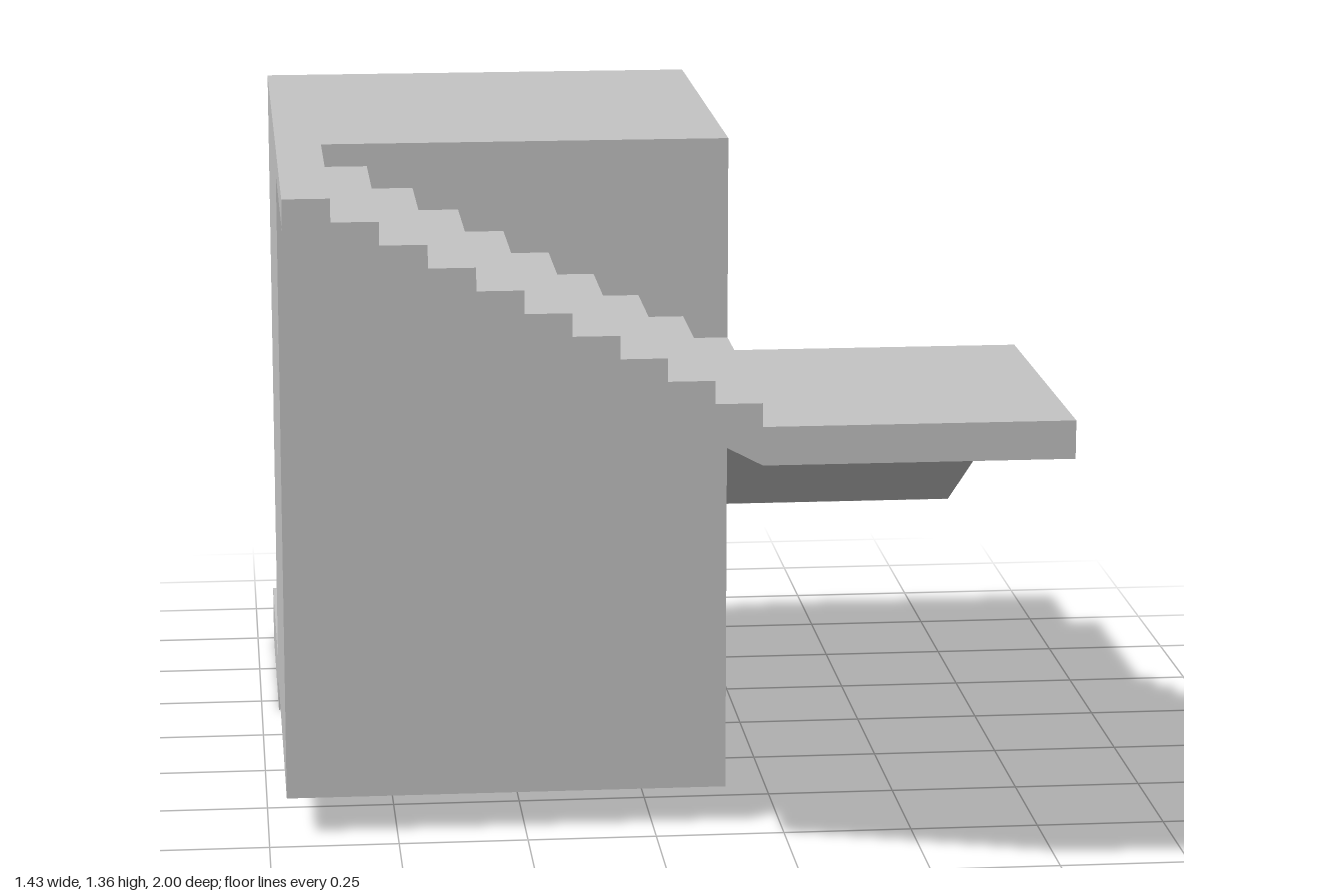
import * as THREE from 'three';

const STEPS = 10, RUN = 0.0857, RISE = 0.0429;
const LENGTH = STEPS * RUN;   // horizontal length of a flight, equal to the block side
const WIDTH = 0.5714;         // stair width
const LEFT = -0.7143, CORNER = LEFT + LENGTH, HALF = LENGTH / 2;
const SLAB = 0.0714;

export function createModel() {
  const group = new THREE.Group();
  const concrete = new THREE.MeshStandardMaterial({ color: 0xc4c4c4 });
  concrete.name = 'concrete grey';

  const add = (name, geometry, x, y, z, turn = 0) => {
    const mesh = new THREE.Mesh(geometry, concrete);
    mesh.name = name;
    mesh.position.set(x, y, z);
    mesh.rotation.y = turn;
    group.add(mesh);
  };

  // Descending flight along local +x: stepped top, sloping underside
  const flight = (top, underHigh, underLow) => {
    const s = new THREE.Shape();
    s.moveTo(0, underHigh);
    s.lineTo(LENGTH, underLow);
    for (let i = STEPS - 1; i >= 0; i--) {
      s.lineTo((i + 1) * RUN, top - i * RISE);
      s.lineTo(i * RUN, top - i * RISE);
    }
    return new THREE.ExtrudeGeometry(s, { depth: WIDTH, bevelEnabled: false });
  };

  // Central block
  add('centralBlock', new THREE.BoxGeometry(LENGTH, 1.285, LENGTH), LEFT + HALF, 0.075 + 1.285 / 2, 0);

  // Three flights winding down around the block
  add('upperFlight', flight(1.36, 1.304, 0.859), LEFT, 0, HALF);
  add('middleFlight', flight(0.93, 0.859, 0.43), CORNER, 0, HALF, Math.PI / 2);
  add('lowerFlight', flight(0.501, 0.43, 0), CORNER, 0, -HALF, Math.PI);

  // Corner landings
  const landing = new THREE.BoxGeometry(WIDTH, SLAB, WIDTH);
  const offset = HALF + WIDTH / 2;
  add('upperLanding', landing, CORNER + WIDTH / 2, 0.93 - SLAB / 2, offset);
  add('lowerLanding', landing, CORNER + WIDTH / 2, 0.501 - SLAB / 2, -offset);

  return group;
}
